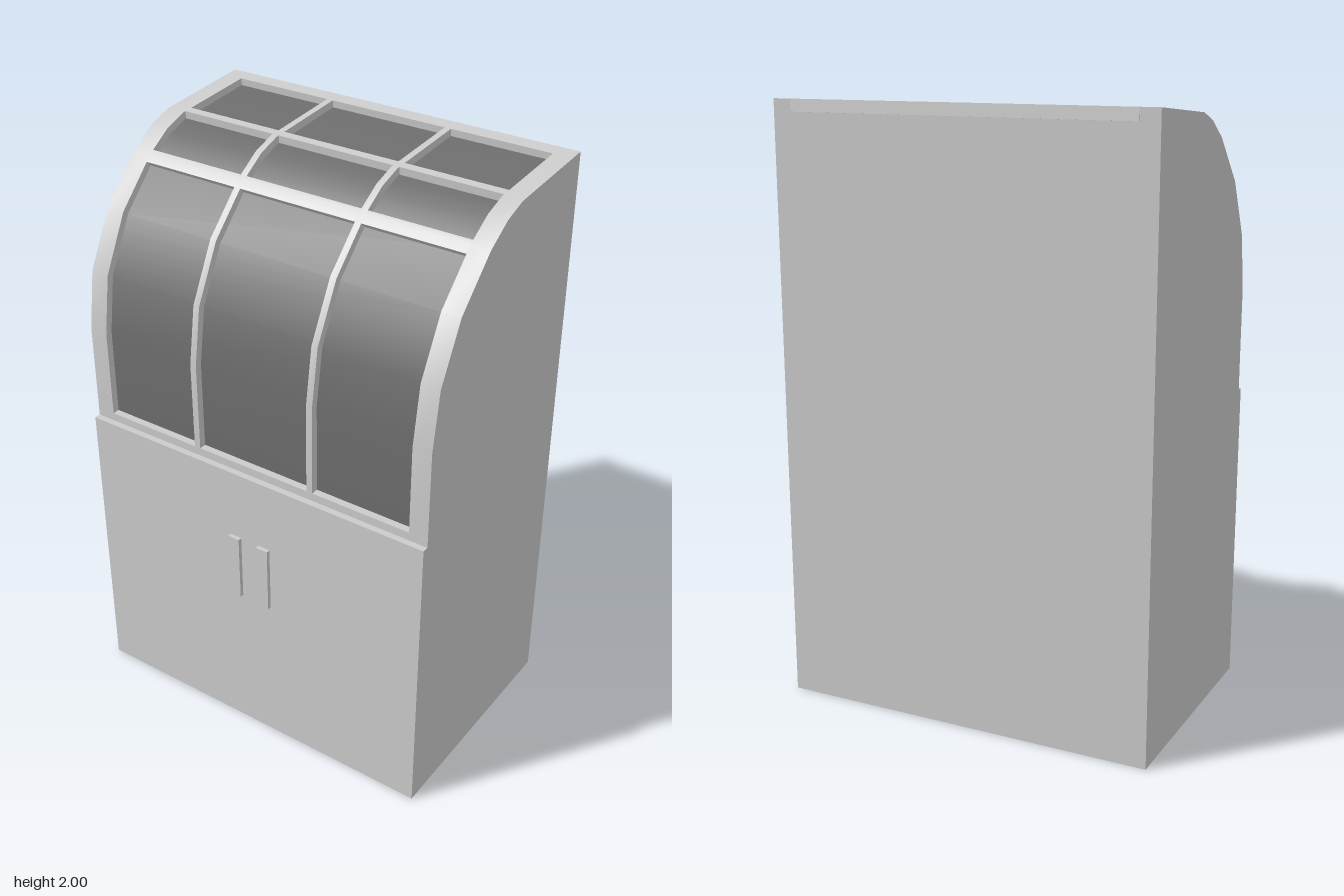
import * as THREE from 'three';
import { toCreasedNormals } from 'three/addons/utils/BufferGeometryUtils.js';

const W = 0.645, BACK = -0.415, SPLIT = 1.03, INNER = 0.58, RECESS = 0.025;

// Curved front of the upper case as (z, y), from the base up to the back edge
const PROFILE = [
  [0.38, SPLIT], [0.38, 1.36], [0.35, 1.555], [0.255, 1.74], [0.11, 1.885],
  [0.02, 1.943], [-0.06, 1.97], [BACK, 2.0],
].map(([z, y]) => new THREE.Vector2(z, y));

// Point at a given z on the part of the profile that slopes back
function onProfile(z) {
  for (let i = 1; i < PROFILE.length - 1; i++) {
    const a = PROFILE[i], b = PROFILE[i + 1];
    if (z <= a.x && z >= b.x) return a.clone().lerp(b, (a.x - z) / (a.x - b.x));
  }
  return PROFILE[PROFILE.length - 1].clone();
}

// Move a polyline inwards by d with mitred corners
function inset(points, d) {
  const normal = (a, b) => new THREE.Vector2(b.y - a.y, a.x - b.x).normalize();
  return points.map((p, i) => {
    const n1 = normal(points[Math.max(i - 1, 0)], points[Math.max(i, 1)]);
    const last = points.length - 1;
    const n2 = normal(points[Math.min(i, last - 1)], points[Math.min(i + 1, last)]);
    const m = n1.clone().add(n2).normalize();
    return p.clone().addScaledVector(m, -d / m.dot(n1));
  });
}

export function createModel() {
  const group = new THREE.Group();
  const grey = new THREE.MeshStandardMaterial({ color: 0xcccccc });
  const dark = new THREE.MeshStandardMaterial({ color: 0x6d6d6d });

  const add = (name, geometry, material = grey) => {
    const mesh = new THREE.Mesh(geometry, material);
    mesh.name = name;
    group.add(mesh);
    return mesh;
  };
  const box = (name, x0, x1, y0, y1, z0, z1) =>
    add(name, new THREE.BoxGeometry(x1 - x0, y1 - y0, z1 - z0))
      .position.set((x0 + x1) / 2, (y0 + y1) / 2, (z0 + z1) / 2);
  // Extrude a (z, y) outline across x0..x1
  const across = (name, points, x0, x1, material) => {
    const g = new THREE.ExtrudeGeometry(new THREE.Shape(points), { depth: x1 - x0, bevelEnabled: false });
    g.rotateY(-Math.PI / 2).translate(x1, 0, 0);
    add(name, toCreasedNormals(g, 0.55), material);
  };
  const solid = (line, back) => [...line, new THREE.Vector2(back, SPLIT)];
  const band = (line, depth) => [...line, ...inset(line, depth).reverse()];

  // Lower cupboard with two pull handles
  box('baseCabinet', -W, W, 0, SPLIT, BACK, 0.402);
  box('rightHandle', -0.08, -0.037, 0.55, 0.785, 0.39, 0.416);
  box('leftHandle', 0.033, 0.077, 0.55, 0.785, 0.39, 0.416);

  // Curved side panels
  across('leftSide', solid(PROFILE, BACK), INNER, W);
  across('rightSide', solid(PROFILE, BACK), -W, -INNER);

  // Recessed curved glazing
  const glassLine = inset(PROFILE, RECESS);
  glassLine[glassLine.length - 1].x = -0.4;
  across('glass', solid(glassLine, -0.4), -INNER, INNER, dark);

  // Upright glazing bars following the curve
  const barLine = [...PROFILE.slice(0, -1), onProfile(-0.4)];
  for (const x of [-0.22, 0.22]) across('uprightBar', solid(barLine, -0.4), x - 0.011, x + 0.011);

  // Cross bars
  across('lowerCrossBar', band([onProfile(0.13), onProfile(0.11), onProfile(0.096)], 0.04), -INNER, INNER);
  across('upperCrossBar', band([onProfile(-0.07), onProfile(-0.1)], 0.04), -INNER, INNER);

  // Sill, top rail and back panel close the frame
  box('sill', -INNER, INNER, SPLIT, 1.058, 0.3, 0.38);
  across('topRail', band([onProfile(-0.365), onProfile(BACK)], 0.04), -INNER, INNER);
  box('backPanel', -INNER, INNER, SPLIT, 1.98, BACK, -0.39);

  return group;
}
